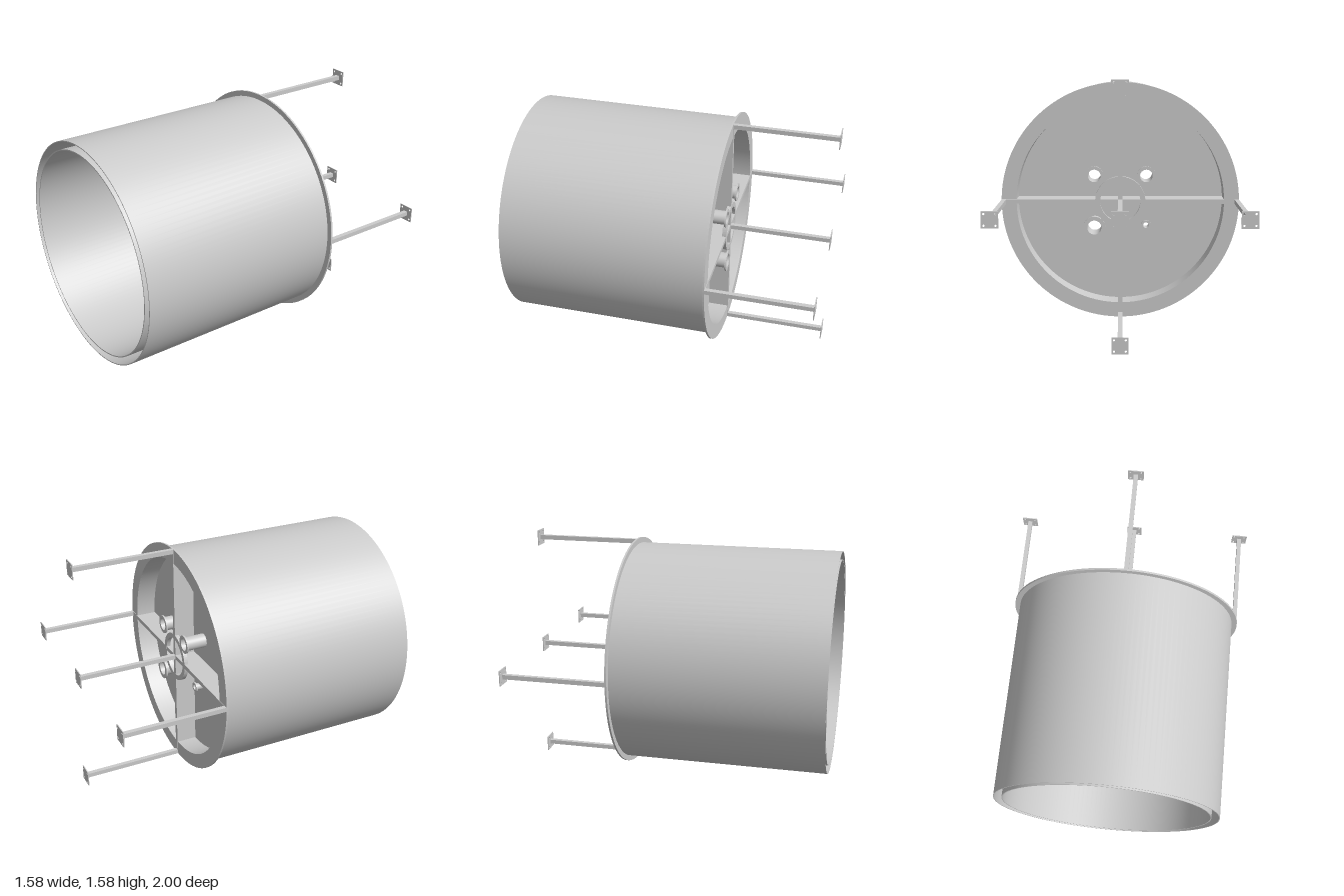
import * as THREE from 'three';

const CY = 0.795; // height of the drum axis
const mat = new THREE.MeshStandardMaterial({ color: 0xcccccc, side: THREE.DoubleSide });

function add(parent, geometry, name, x = 0, y = 0, z = 0) {
  const mesh = new THREE.Mesh(geometry, mat);
  mesh.name = name;
  mesh.position.set(x, y, z);
  parent.add(mesh);
  return mesh;
}

// Flat plate from a shape, spanning z0..z1
function plate(shape, z0, z1, segments = 48) {
  const g = new THREE.ExtrudeGeometry(shape, { depth: z1 - z0, bevelEnabled: false, curveSegments: segments });
  return g.translate(0, 0, z0);
}

function disc(radius) {
  return new THREE.Shape().absarc(0, 0, radius, 0, Math.PI * 2, false);
}

function punch(shape, x, y, radius) {
  shape.holes.push(new THREE.Path().absarc(x, y, radius, 0, Math.PI * 2, true));
  return shape;
}

// Ring with rectangular section around the z axis
function ring(outer, inner, z0, z1, segments = 48) {
  return plate(punch(disc(outer), 0, 0, inner), z0, z1, segments);
}

export function createModel() {
  const model = new THREE.Group();
  model.name = 'drum';
  const body = new THREE.Group();
  body.name = 'drumBody';
  body.position.y = CY;
  model.add(body);

  // Double wall, open at the front, closed by a flange behind
  add(body, ring(0.72, 0.714, -0.32, 1, 64), 'outerShell');
  add(body, ring(0.667, 0.66, -0.32, 1, 64), 'innerShell');
  add(body, ring(0.714, 0.7, -0.32, -0.305, 64), 'wallSpacer');
  add(body, ring(0.755, 0.66, -0.332, -0.32, 64), 'rearFlange');

  // Pipe fittings: x, y, bore, flange radius, rear end
  const fittings = [
    [-0.165, 0.165, 0.04, 0.06, -0.343],
    [0.165, 0.165, 0.04, 0.06, -0.343],
    [-0.165, -0.165, 0.018, 0.032, -0.27],
    [0.165, -0.165, 0.045, 0.07, -0.355],
  ];

  // Recessed end wall with a hole for each pipe
  const wall = disc(0.66);
  for (const [x, y, bore] of fittings) punch(wall, x, y, bore);
  add(body, plate(wall, -0.2, -0.19), 'endWall');

  for (const [x, y, bore, lip, z] of fittings) {
    add(body, ring(bore + 0.005, bore, z, -0.19, 20), 'pipe', x, y);
    add(body, ring(lip, bore, z, z + 0.01, 20), 'pipeFlange', x, y);
  }

  // Cross braces: deep webs in the recess, thin ends over the flange
  const w = 0.028;
  for (let i = 0; i < 4; i++) {
    const arm = new THREE.Group();
    arm.name = 'braceArm';
    arm.rotation.z = i * Math.PI / 2;
    body.add(arm);
    add(arm, new THREE.BoxGeometry(0.66, w, 0.135), 'braceWeb', 0.33, 0, -0.2675);
    add(arm, new THREE.BoxGeometry(0.095, w, 0.004), 'braceEnd', 0.7065, 0, -0.333);
  }
  add(body, ring(0.16, 0.128, -0.336, -0.31, 32), 'hubRing');

  // Five legs, each with a drilled square foot
  const foot = new THREE.Shape([[-1, -1], [1, -1], [1, 1], [-1, 1]].map(([x, y]) => new THREE.Vector2(x * 0.05, y * 0.05)));
  for (const x of [-0.034, 0.034]) for (const y of [-0.034, 0.034]) punch(foot, x, y, 0.007);
  const footGeometry = plate(foot, -1, -0.994, 8);
  const legGeometry = new THREE.BoxGeometry(w, w, 0.664).translate(0, 0, -0.662);
  const R = 0.74;
  for (const [x, y] of [[0, 0], [R, 0], [-R, 0], [0, R], [0, -R]]) {
    add(body, legGeometry, 'leg', x, y);
    add(body, footGeometry, 'footPlate', x, y);
  }

  // Round surfaces get smooth normals from the ring centre, flat caps stay flat
  body.traverse((m) => {
    if (!m.isMesh || !['outerShell', 'innerShell', 'wallSpacer', 'pipe'].includes(m.name)) return;
    const p = m.geometry.attributes.position, n = m.geometry.attributes.normal;
    for (let i = 0; i < p.count; i++) {
      if (Math.abs(n.getZ(i)) > 0.5) continue;
      const s = Math.sign(n.getX(i) * p.getX(i) + n.getY(i) * p.getY(i));
      const r = Math.hypot(p.getX(i), p.getY(i));
      n.setXYZ(i, s * p.getX(i) / r, s * p.getY(i) / r, 0);
    }
  });
  return model;
}
